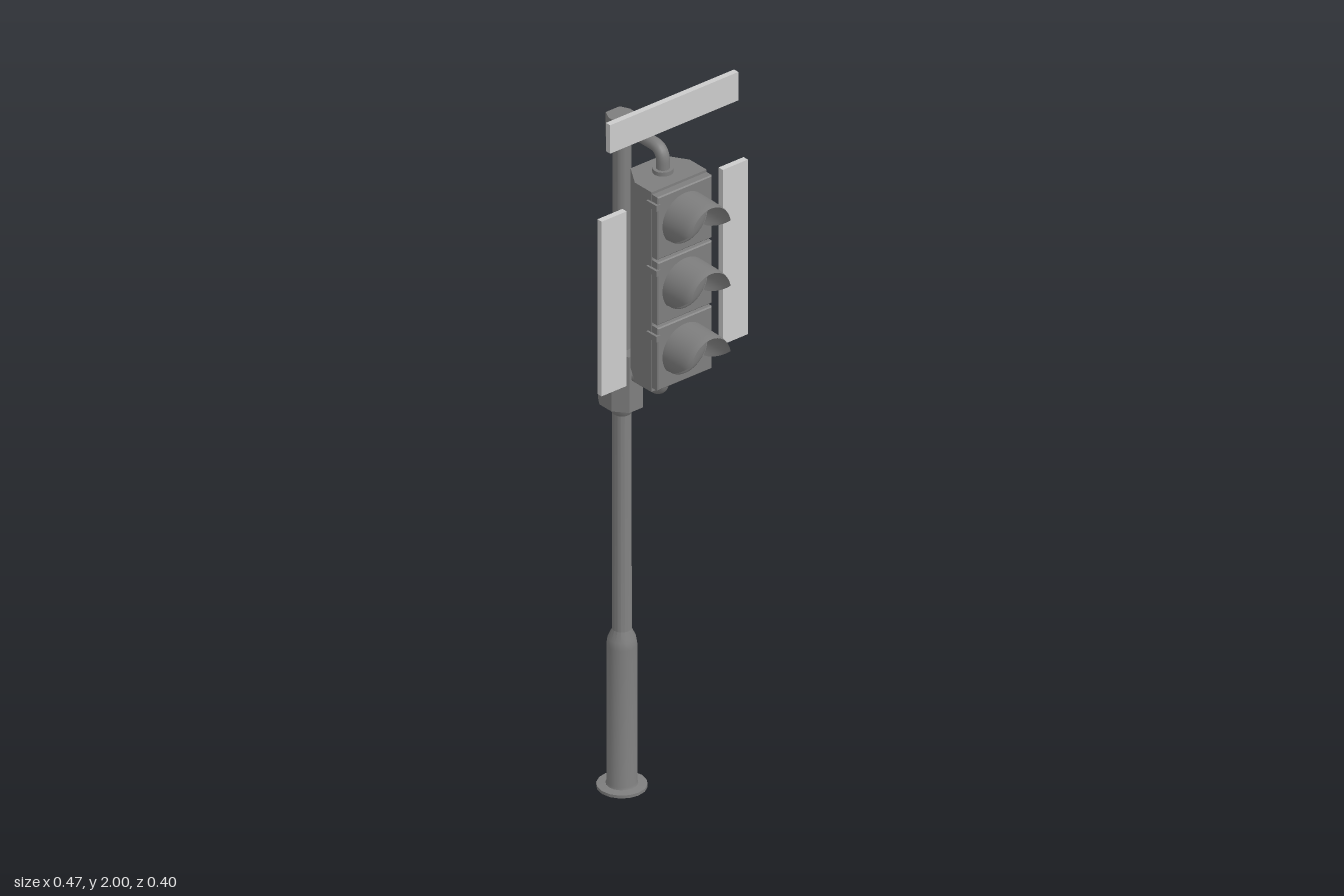
import * as THREE from 'three';
import { toCreasedNormals } from 'three/addons/utils/BufferGeometryUtils.js';

const dark = new THREE.MeshStandardMaterial({ color: 0x7e7e7e });
const darkThin = new THREE.MeshStandardMaterial({ color: 0x7e7e7e, side: THREE.DoubleSide });
const light = new THREE.MeshStandardMaterial({ color: 0xcccccc });
const POLE_Z = -0.137;
const PIPE_Z = 0.017;

export function createModel() {
  const model = new THREE.Group();

  function add(name, geometry, x = 0, y = 0, z = 0, material = dark, parent = model) {
    const mesh = new THREE.Mesh(geometry, material);
    mesh.name = name;
    mesh.position.set(x, y, z);
    parent.add(mesh);
  }
  const lathe = (points, sides) => toCreasedNormals(
    new THREE.LatheGeometry(points.map(([r, y]) => new THREE.Vector2(r, y)), sides), 0.5);

  // Upright prism, symmetric in x, from one half of its outline as [x, z] points
  function prism(half, height) {
    const outline = [...half, ...half.map(([x, z]) => [-x, z]).reverse()];
    const shape = new THREE.Shape(outline.map(([x, z]) => new THREE.Vector2(x, -z)));
    return new THREE.ExtrudeGeometry(shape, { depth: height, bevelEnabled: false })
      .rotateX(-Math.PI / 2);
  }

  // Pole: hollow foot flange, thick lower sleeve, slim upper tube
  add('pole', lathe([
    [0.036, 0.009], [0.04, 0], [0.0625, 0], [0.0625, 0.008], [0.04, 0.01], [0.038, 0.016],
    [0.038, 0.395], [0.035, 0.415], [0.024, 0.44], [0.023, 1.84], [0, 1.84],
  ], 16), 0, 0, POLE_Z);
  add('footPlug', new THREE.CircleGeometry(0.037, 16).rotateX(Math.PI / 2), 0, 0.009, POLE_Z);

  // Clamp around the pole, with a tapered collar below
  add('clamp', prism([
    [0.022, 0.054], [0.05, 0.02], [0.05, -0.025], [0.032, -0.052],
  ], 0.155), 0, 1.069, POLE_Z);
  add('clampCollar', lathe([[0.023, 1.04], [0.032, 1.055], [0.036, 1.075]], 16), 0, 0, POLE_Z);

  // Cap on top of the pole
  add('poleCap', prism([
    [0.018, 0.037], [0.034, 0.002], [0.034, -0.01], [0.022, -0.035],
  ], 0.067), 0, 1.801, POLE_Z);

  // Bent pipes that carry the housing
  function bracket(name, yPole, yHousing, radius) {
    const bend = 0.035;
    const up = Math.sign(yHousing - yPole);
    const path = new THREE.CurvePath();
    const a = new THREE.Vector3(0, yPole, POLE_Z + 0.02);
    const b = new THREE.Vector3(0, yPole, PIPE_Z - bend);
    const corner = new THREE.Vector3(0, yPole, PIPE_Z);
    const c = new THREE.Vector3(0, yPole + up * bend, PIPE_Z);
    path.add(new THREE.LineCurve3(a, b));
    path.add(new THREE.QuadraticBezierCurve3(b, corner, c));
    path.add(new THREE.LineCurve3(c, new THREE.Vector3(0, yHousing, PIPE_Z)));
    add(name, new THREE.TubeGeometry(path, 32, radius, 14));
    add(name + 'Flange', new THREE.CylinderGeometry(0.026, 0.026, 0.016, 16), 0, yHousing, PIPE_Z);
  }
  bracket('upperBracket', 1.841, 1.78, 0.017);
  bracket('lowerBracket', 1.165, 1.222, 0.016);

  // Housing with chamfered back
  add('housing', prism([
    [0.087, 0.078], [0.087, 0.015], [0.05, -0.045],
  ], 0.555), 0, 1.222, 0);

  // Visor: arched hood whose lower edge rises toward the front, front rim slightly drawn in
  const visor = new THREE.PlaneGeometry(1, 1, 36, 12);
  const p = visor.attributes.position;
  for (let i = 0; i < p.count; i++) {
    const t = p.getY(i) + 0.5;
    const low = -0.6 + 0.8 * Math.pow(t, 1.6);
    const angle = Math.PI / 2 + p.getX(i) * (Math.PI - 2 * low);
    const rx = 0.071 - 0.003 * t - 0.005 * Math.pow(t, 10);
    const ry = 0.07 - 0.002 * Math.pow(t, 10);
    p.setXYZ(i, rx * Math.cos(angle), ry * Math.sin(angle), 0.098 + 0.1 * t);
  }
  visor.computeVertexNormals();

  // Shallow domed lens
  const lens = new THREE.SphereGeometry(0.068, 28, 8, 0, Math.PI * 2, 0, Math.PI / 2)
    .rotateX(Math.PI / 2).scale(1, 1, 0.2);

  const square = new THREE.Shape();
  square.moveTo(-0.083, -0.084).lineTo(0.083, -0.084).lineTo(0.083, 0.084).lineTo(-0.083, 0.084);
  const door = new THREE.ExtrudeGeometry(square, {
    depth: 0.018, bevelSize: 0.003, bevelThickness: 0.003, bevelSegments: 1,
  });

  // Three signal sections, each with door, lens, visor, hinge and latch
  for (const y of [1.32, 1.502, 1.684]) {
    const section = new THREE.Group();
    section.name = 'signalSection';
    section.position.y = y;
    model.add(section);
    add('door', door, 0, 0, 0.079, dark, section);
    add('lens', lens, 0, 0, 0.099, dark, section);
    add('visor', visor, 0, 0, 0, darkThin, section);
    add('hinge', new THREE.BoxGeometry(0.014, 0.022, 0.027), 0.084, 0, 0.086, dark, section);
    add('latch', new THREE.BoxGeometry(0.014, 0.016, 0.038), -0.086, 0.06, 0.084, dark, section);
  }

  // Free-standing border panels around the housing
  add('topPanel', new THREE.BoxGeometry(0.405, 0.079, 0.016), -0.002, 1.9605, 0.054, light);
  add('leftPanel', new THREE.BoxGeometry(0.079, 0.486, 0.016), 0.1935, 1.5, 0.051, light);
  add('rightPanel', new THREE.BoxGeometry(0.079, 0.486, 0.016), -0.1935, 1.5, 0.056, light);

  return model;
}
